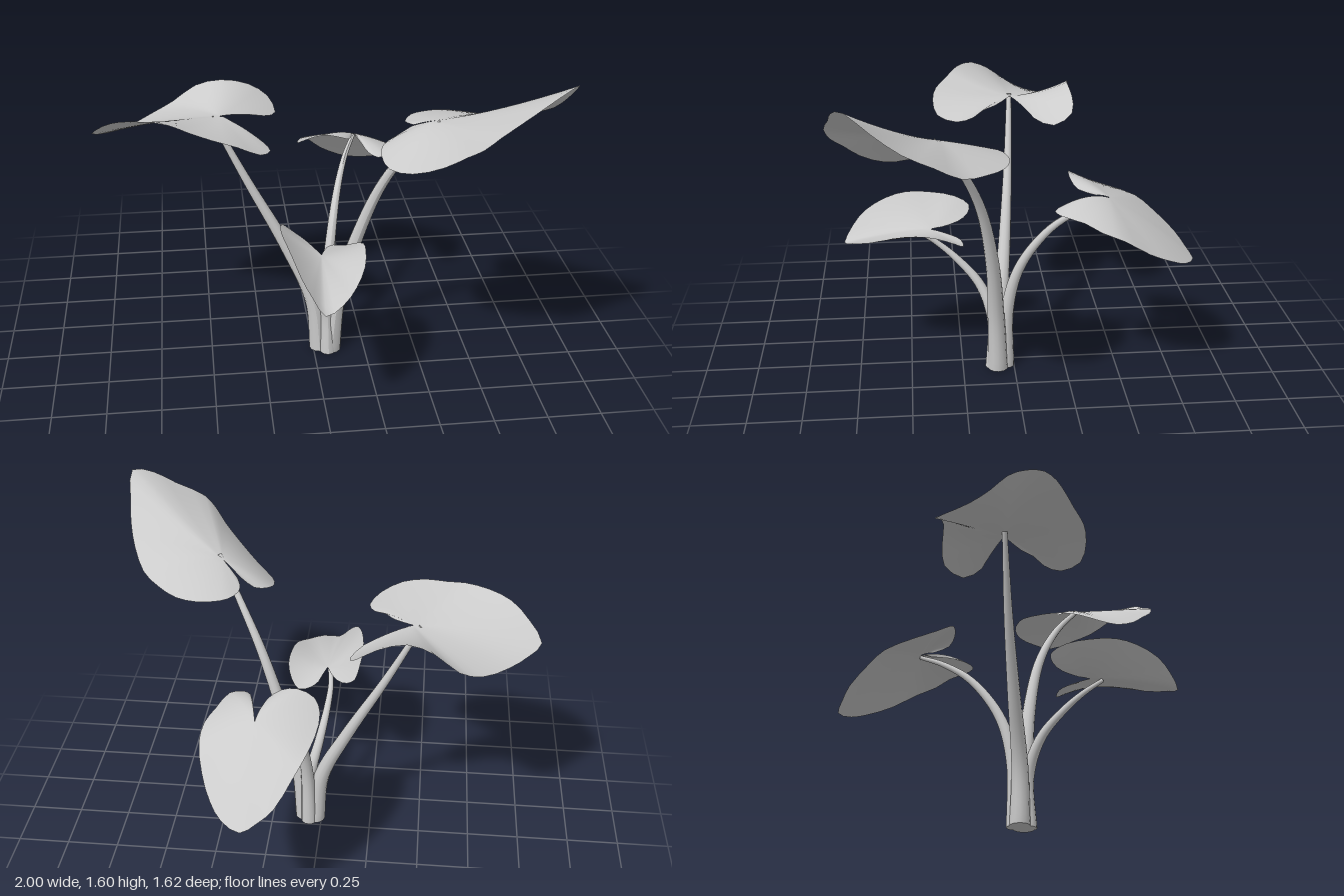
import * as THREE from 'three';

const leafMaterial = new THREE.MeshStandardMaterial({ color: 0xcccccc, side: THREE.DoubleSide });
const stemMaterial = new THREE.MeshStandardMaterial({ color: 0xcccccc });
const toVectors = (points) => points.map((p) => new THREE.Vector3(...p));

// Slopes (in x and z) of the plane through the notch that best fits the rim.
function fitSlopes(rim, centre) {
  let xx = 0, xz = 0, zz = 0, xy = 0, zy = 0;
  for (const p of rim) {
    const d = p.clone().sub(centre);
    xx += d.x * d.x;
    xz += d.x * d.z;
    zz += d.z * d.z;
    xy += d.x * d.y;
    zy += d.z * d.y;
  }
  const det = xx * zz - xz * xz;
  return [(xy * zz - zy * xz) / det, (zy * xx - xy * xz) / det];
}

// Heart-shaped blade: rings grow from the notch to a curved edge, and bend
// smoothly away from a tilted plane. Edge runs counter-clockwise from above.
function leaf(name, notch, edge) {
  const rings = 8;
  const rim = new THREE.CatmullRomCurve3(toVectors(edge)).getPoints((edge.length - 1) * 2);
  const centre = new THREE.Vector3(...notch);
  const [slopeX, slopeZ] = fitSlopes(rim, centre);
  const positions = [...notch];
  const index = [];
  const n = rim.length;
  for (let r = 1; r <= rings; r++) {
    const t = r / rings;
    for (const p of rim) {
      const d = p.clone().sub(centre);
      const plane = slopeX * d.x + slopeZ * d.z;
      const y = centre.y + plane * t + (d.y - plane) * Math.pow(t, 1.7);
      positions.push(centre.x + d.x * t, y, centre.z + d.z * t);
    }
  }
  for (let i = 0; i < n - 1; i++) {
    index.push(0, 1 + i, 2 + i);
    for (let r = 1; r < rings; r++) {
      const a = 1 + (r - 1) * n + i;
      const b = a + n;
      index.push(a, b, b + 1, a, b + 1, a + 1);
    }
  }
  const geometry = new THREE.BufferGeometry();
  geometry.setAttribute('position', new THREE.Float32BufferAttribute(positions, 3));
  geometry.setIndex(index);
  geometry.computeVertexNormals();
  const mesh = new THREE.Mesh(geometry, leafMaterial);
  mesh.name = name;
  return mesh;
}

// Curved stalk that tapers from base to tip, closed at the bottom.
function stem(name, points, baseRadius, tipRadius) {
  const group = new THREE.Group();
  group.name = name;
  const curve = new THREE.CatmullRomCurve3(toVectors(points));
  const segments = 28;
  const sides = 12;
  const geometry = new THREE.TubeGeometry(curve, segments, 1, sides);
  const pos = geometry.attributes.position;
  const v = new THREE.Vector3();
  for (let i = 0; i < pos.count; i++) {
    const t = Math.floor(i / (sides + 1)) / segments;
    const c = curve.getPointAt(t);
    const radius = THREE.MathUtils.lerp(baseRadius, tipRadius, Math.pow(t, 0.85));
    v.fromBufferAttribute(pos, i).sub(c).multiplyScalar(radius).add(c);
    pos.setXYZ(i, v.x, Math.max(v.y, 0), v.z);
  }
  geometry.computeVertexNormals();
  const stalk = new THREE.Mesh(geometry, stemMaterial);
  stalk.name = name + 'Stalk';
  const cap = new THREE.Mesh(new THREE.CircleGeometry(baseRadius, sides), stemMaterial);
  cap.name = name + 'Base';
  cap.rotation.x = Math.PI / 2;
  cap.position.set(...points[0]);
  group.add(stalk, cap);
  return group;
}

export function createModel() {
  const plant = new THREE.Group();
  plant.name = 'leafyPlant';

  // Wide leaf on the right side
  plant.add(leaf('rightLeaf', [-0.42, 1.23, -0.02], [
    [-0.4, 1.23, -0.03], [-0.35, 1.22, -0.08], [-0.28, 1.2, -0.1], [-0.21, 1.18, -0.12],
    [-0.15, 1.16, -0.21], [-0.18, 1.21, -0.3], [-0.27, 1.27, -0.31], [-0.4, 1.3, -0.3],
    [-0.52, 1.27, -0.32], [-0.63, 1.19, -0.33], [-0.73, 1.15, -0.29], [-0.85, 1.13, -0.18],
    [-0.94, 1.14, -0.09], [-1, 1.17, -0.02], [-0.94, 1.24, 0.06], [-0.86, 1.29, 0.14],
    [-0.76, 1.31, 0.2], [-0.65, 1.31, 0.25], [-0.57, 1.29, 0.29], [-0.47, 1.27, 0.34],
    [-0.36, 1.24, 0.36], [-0.26, 1.19, 0.34], [-0.21, 1.17, 0.25], [-0.24, 1.18, 0.17],
    [-0.29, 1.2, 0.12], [-0.33, 1.21, 0.06], [-0.4, 1.23, -0.01],
  ]));

  // Large raised leaf on the front left
  plant.add(leaf('frontLeftLeaf', [0.5, 1.32, 0.35], [
    [0.41, 1.27, 0.28], [0.34, 1.22, 0.27], [0.28, 1.2, 0.31], [0.26, 1.18, 0.38],
    [0.28, 1.16, 0.48], [0.36, 1.18, 0.58], [0.47, 1.25, 0.68], [0.55, 1.32, 0.74],
    [0.6, 1.37, 0.79], [0.66, 1.43, 0.81], [0.8, 1.51, 0.78], [0.9, 1.57, 0.76],
    [0.995, 1.6, 0.71], [0.99, 1.51, 0.61], [0.97, 1.42, 0.5], [0.93, 1.35, 0.38],
    [0.87, 1.28, 0.27], [0.78, 1.26, 0.17], [0.68, 1.25, 0.09], [0.58, 1.25, 0.06],
    [0.5, 1.25, 0.07], [0.44, 1.25, 0.1], [0.4, 1.25, 0.17], [0.4, 1.26, 0.22], [0.42, 1.27, 0.27],
  ]));

  // Drooping leaf at the back
  plant.add(leaf('backLeaf', [0.25, 0.94, -0.42], [
    [0.265, 0.94, -0.37], [0.28, 0.94, -0.28], [0.3, 0.93, -0.2], [0.34, 0.92, -0.16],
    [0.4, 0.92, -0.18], [0.45, 0.9, -0.28], [0.49, 0.87, -0.35], [0.5, 0.83, -0.45],
    [0.47, 0.75, -0.57], [0.42, 0.69, -0.68], [0.36, 0.65, -0.76], [0.27, 0.635, -0.815],
    [0.2, 0.67, -0.79], [0.13, 0.72, -0.75], [0.06, 0.81, -0.65], [0.02, 0.86, -0.58],
    [-0.02, 0.9, -0.45], [-0.03, 0.94, -0.33], [0, 0.98, -0.27], [0.08, 1.01, -0.25],
    [0.15, 1, -0.25], [0.21, 0.97, -0.28], [0.24, 0.95, -0.36],
  ]));

  // Small cupped leaf at the front
  plant.add(leaf('frontLeaf', [0, 0.71, 0.39], [
    [-0.02, 0.71, 0.34], [-0.06, 0.72, 0.26], [-0.11, 0.74, 0.21], [-0.15, 0.77, 0.2],
    [-0.17, 0.81, 0.27], [-0.18, 0.83, 0.38], [-0.17, 0.84, 0.5], [-0.15, 0.82, 0.6],
    [-0.12, 0.77, 0.7], [-0.08, 0.71, 0.76], [-0.03, 0.645, 0.8], [0.05, 0.67, 0.76],
    [0.12, 0.7, 0.67], [0.17, 0.74, 0.57], [0.19, 0.755, 0.46], [0.195, 0.74, 0.36],
    [0.17, 0.7, 0.28], [0.13, 0.67, 0.24], [0.07, 0.68, 0.25], [0.035, 0.69, 0.29], [0.02, 0.7, 0.35],
  ]));

  // Stalks spreading from one tight clump
  plant.add(stem('rightStem', [[0.03, 0, 0.06], [0, 0.27, 0.06], [-0.13, 0.57, 0.03],
    [-0.3, 0.9, 0], [-0.46, 1.23, -0.02]], 0.048, 0.012));
  plant.add(stem('frontLeftStem', [[0.085, 0, 0.08], [0.115, 0.3, 0.09], [0.19, 0.6, 0.11],
    [0.3, 0.93, 0.17], [0.42, 1.17, 0.27], [0.52, 1.33, 0.38]], 0.05, 0.012));
  plant.add(stem('backStem', [[0.06, 0, 0.04], [0.07, 0.32, 0.03], [0.095, 0.55, -0.03],
    [0.145, 0.76, -0.17], [0.2, 0.87, -0.31], [0.255, 0.93, -0.42]], 0.042, 0.01));
  plant.add(stem('frontStem', [[0.07, 0, 0.1], [0.06, 0.25, 0.1], [0.02, 0.42, 0.16],
    [-0.01, 0.55, 0.27], [-0.02, 0.63, 0.36], [-0.005, 0.7, 0.45]], 0.04, 0.01));

  return plant;
}
